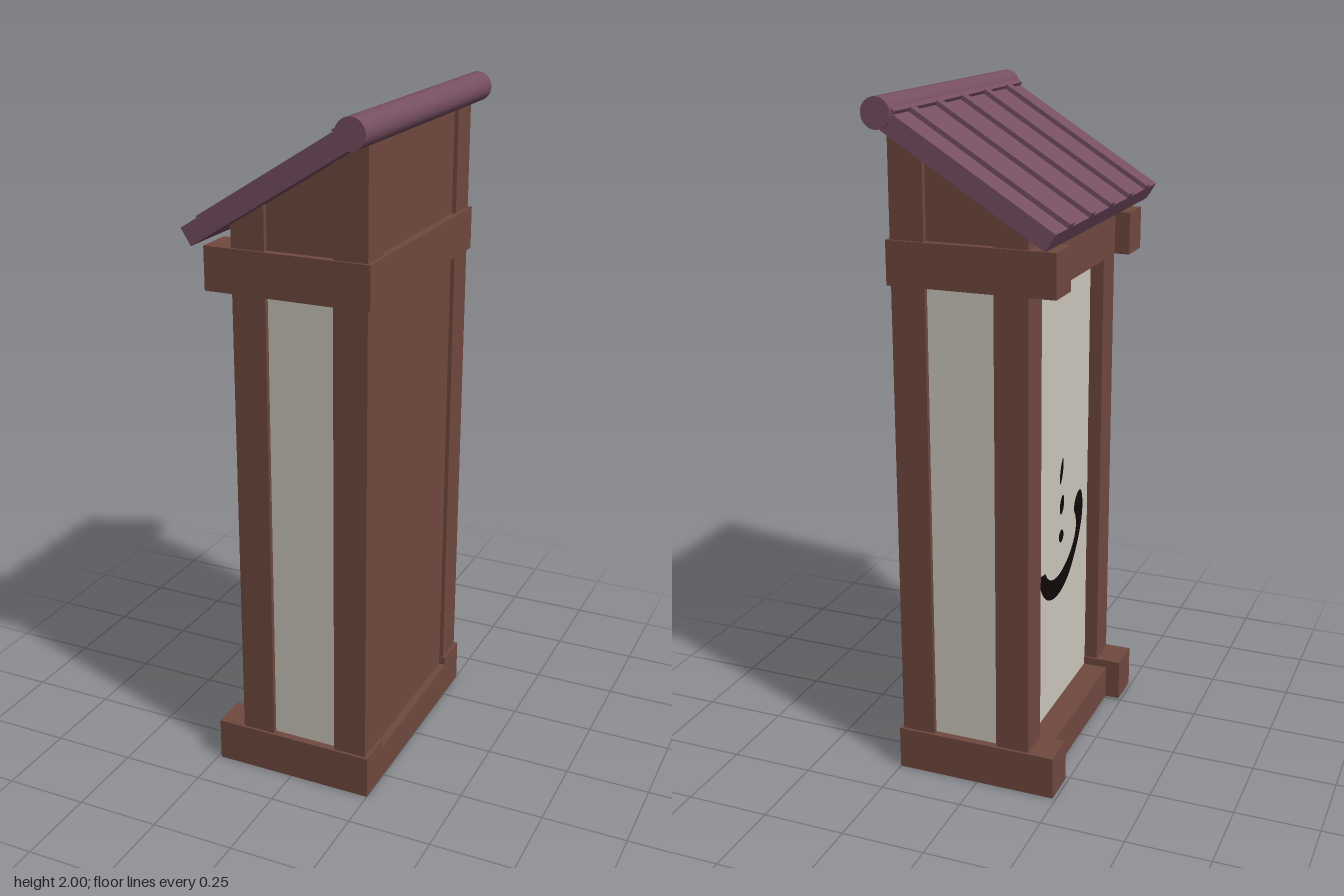
import * as THREE from 'three';

export function createModel() {
  const root = new THREE.Group();
  const mat = (name, color, extra = {}) => {
    const m = new THREE.MeshStandardMaterial({ color, ...extra });
    m.name = name;
    return m;
  };
  const wood = mat('brown wood', 0x70493f);
  const paper = mat('pale panel', 0xcdc8bf);
  const tile = mat('plum roof', 0x774f62);
  const ink = mat('black ink', 0x100808, { side: THREE.DoubleSide });

  const add = (name, geometry, material, parent = root) => {
    const mesh = new THREE.Mesh(geometry, material);
    mesh.name = name;
    parent.add(mesh);
    return mesh;
  };
  // Box given by its minimum and maximum corners
  const block = (name, material, [x0, y0, z0], [x1, y1, z1], parent = root) => {
    const mesh = add(name, new THREE.BoxGeometry(x1 - x0, y1 - y0, z1 - z0), material, parent);
    mesh.position.set((x0 + x1) / 2, (y0 + y1) / 2, (z0 + z1) / 2);
    return mesh;
  };

  // Roof slope, from the lower edge of the eave
  const eave = { x: -0.235, y: 1.63 };
  const slope = 0.625;
  const roofY = (x) => eave.y + slope * (x - eave.x) + 0.01;

  // Upright piece with its top cut to the roof slope
  const slopedPiece = (name, x0, x1, y0, z0, z1) => {
    const s = new THREE.Shape([
      new THREE.Vector2(x0, y0), new THREE.Vector2(x1, y0),
      new THREE.Vector2(x1, roofY(x1)), new THREE.Vector2(x0, roofY(x0)),
    ]);
    const g = new THREE.ExtrudeGeometry(s, { depth: z1 - z0, bevelEnabled: false });
    g.translate(0, 0, z0);
    return add(name, g, wood);
  };

  // Corner posts
  for (const [x0, x1] of [[-0.16, -0.06], [0.14, 0.24]]) {
    slopedPiece('cornerPost', x0, x1, 0.05, 0.265, 0.365);
    slopedPiece('cornerPost', x0, x1, 0.05, -0.365, -0.265);
  }

  // Pale body, wooden wall on one side, and wooden gable above
  block('paleBody', paper, [-0.118, 0.1, -0.35], [0.222, 1.5, 0.35]);
  block('woodenWall', wood, [0.222, 0.1, -0.27], [0.228, 1.5, 0.27]);
  slopedPiece('gableWall', -0.145, 0.228, 1.5, -0.35, 0.35);

  // Base and upper band: two end beams joined by a shorter, set-back middle
  const band = (name, y0, y1, middleTop) => {
    const g = new THREE.Group();
    g.name = name;
    root.add(g);
    for (const [z0, z1] of [[0.26, 0.373], [-0.373, -0.26]])
      block('endBeam', wood, [-0.24, y0, z0], [0.25, y1, z1], g);
    block('middleBeam', wood, [-0.195, y0, -0.26], [0.25, middleTop, 0.26], g);
  };
  band('base', 0, 0.13, 0.105);
  band('upperBand', 1.49, 1.615, 1.615);

  // Roof: slab, ribs and top batten in slope space
  const roof = new THREE.Group();
  roof.name = 'roof';
  roof.position.set(eave.x, eave.y, 0);
  roof.rotation.z = Math.atan(slope);
  root.add(roof);
  block('roofSlab', tile, [0, 0, -0.445], [0.535, 0.055, 0.445], roof);
  for (let i = -2; i <= 2; i++)
    block('roofRib', tile, [0, 0.05, i * 0.169 - 0.017], [0.53, 0.068, i * 0.169 + 0.017], roof);
  block('topBatten', tile, [0.524, 0.04, -0.445], [0.55, 0.066, 0.445], roof);

  // Ridge pole
  const ridge = add('ridgePole', new THREE.CylinderGeometry(0.0425, 0.0425, 0.904, 32), tile);
  ridge.rotation.x = Math.PI / 2;
  ridge.position.set(0.228, 1.9575, 0);

  // Abstract brush marks, drawn as (z, y) shapes on the open-side panel
  const mark = (name, shape) => {
    const mesh = add(name, new THREE.ShapeGeometry(shape, 16), ink);
    mesh.rotation.y = -Math.PI / 2;
    mesh.position.x = -0.121;
  };
  const crescent = new THREE.Shape();
  crescent.moveTo(-0.18, 0.6);
  crescent.bezierCurveTo(-0.14, 0.45, 0.04, 0.44, 0.13, 0.54);
  crescent.bezierCurveTo(0.2, 0.61, 0.23, 0.68, 0.2, 0.74);
  crescent.bezierCurveTo(0.18, 0.77, 0.13, 0.74, 0.13, 0.7);
  crescent.bezierCurveTo(0.19, 0.63, 0.11, 0.57, 0.05, 0.55);
  crescent.bezierCurveTo(-0.03, 0.52, -0.1, 0.55, -0.12, 0.59);
  crescent.closePath();
  mark('brushCrescent', crescent);
  for (const [z, y, w, h] of [[0.015, 0.87, 0.012, 0.04], [0.02, 0.76, 0.018, 0.03], [0.015, 0.66, 0.02, 0.02]]) {
    const dab = new THREE.Shape();
    dab.absellipse(z, y, w, h, 0, Math.PI * 2, false, -0.3);
    mark('brushDab', dab);
  }
  return root;
}
